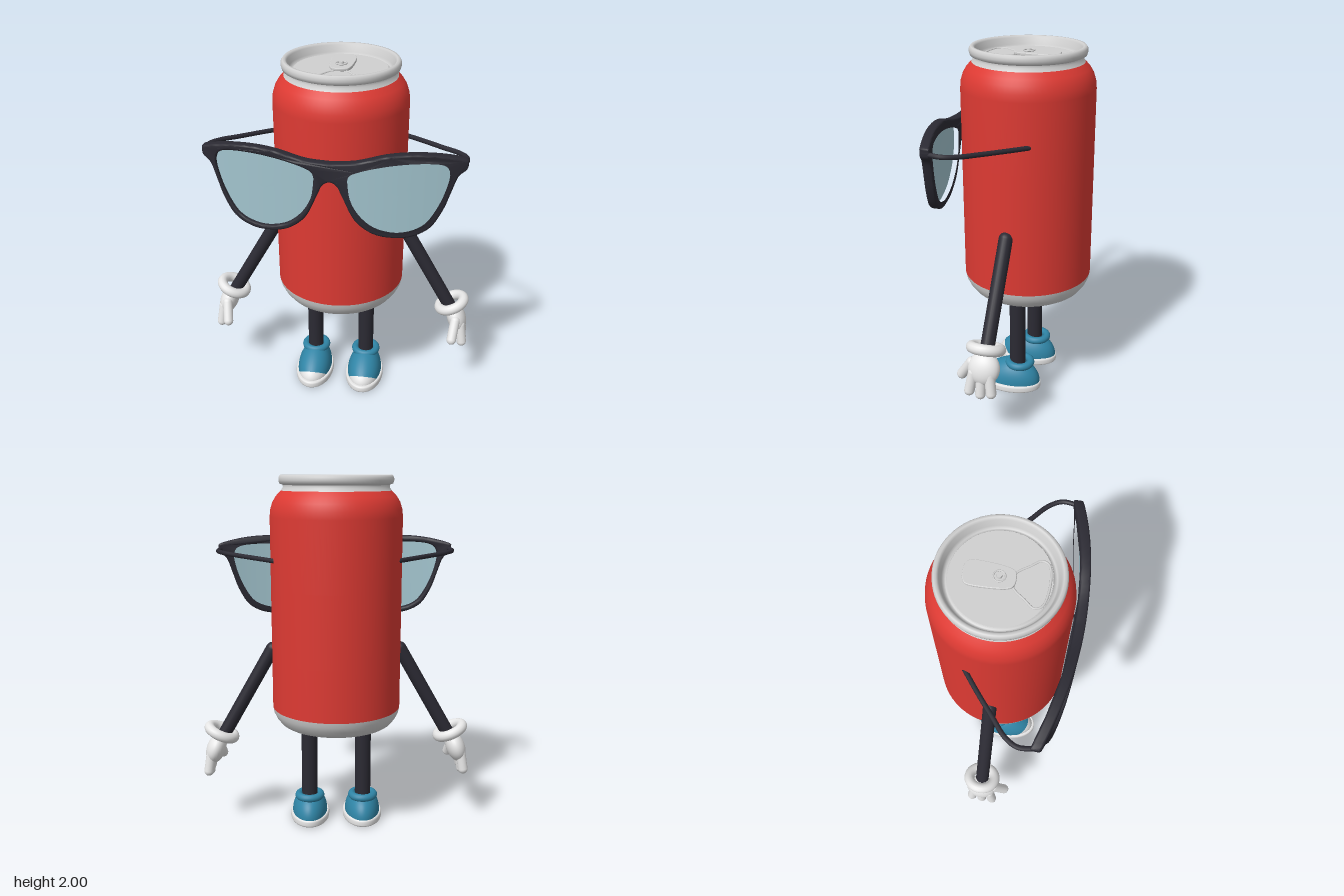
import * as THREE from 'three';
import { mergeVertices, toCreasedNormals } from 'three/addons/utils/BufferGeometryUtils.js';

const V2 = (p) => new THREE.Vector2(p[0], p[1]);
const V3 = (x, y, z) => new THREE.Vector3(x, y, z);
const mat = (name, color, side = THREE.FrontSide) => {
  const m = new THREE.MeshStandardMaterial({ color, side });
  m.name = name;
  return m;
};
const CAN_Z = -0.036;

export function createModel() {
  const red = mat('red', 0xdd3a33);
  const silver = mat('silver', 0xd0d0d0);
  const white = mat('white', 0xe6e6e6);
  const black = mat('black', 0x2b2a33);
  const teal = mat('teal', 0x2f84a5);
  const lensBlue = mat('lensBlue', 0xa3c5cf, THREE.DoubleSide);

  const model = new THREE.Group();
  model.name = 'canCharacter';

  const add = (parent, name, geo, material, x = 0, y = 0, z = 0) => {
    const mesh = new THREE.Mesh(geo, material);
    mesh.name = name;
    mesh.position.set(x, y, z);
    parent.add(mesh);
    return mesh;
  };
  // Round-ended rod between two points
  const limb = (parent, name, a, b, r, material) => {
    const dir = b.clone().sub(a);
    const mesh = add(parent, name, new THREE.CapsuleGeometry(r, dir.length(), 8, 20), material);
    mesh.position.copy(a).add(b).multiplyScalar(0.5);
    mesh.quaternion.setFromUnitVectors(V3(0, 1, 0), dir.normalize());
    return mesh;
  };
  const group = (name) => {
    const g = new THREE.Group();
    g.name = name;
    model.add(g);
    return g;
  };

  // Can body: three stacked lathes
  const can = group('can');
  can.position.z = CAN_Z;
  const lathe = (name, pts, m) => add(can, name, new THREE.LatheGeometry(pts.map(V2), 72), m);
  lathe('canBase', [[0, 0.72], [0.1, 0.71], [0.19, 0.68], [0.245, 0.635], [0.262, 0.616], [0.28, 0.61],
    [0.3, 0.612], [0.32, 0.625], [0.343, 0.655], [0.357, 0.685], [0.362, 0.712]], silver);
  lathe('canBody', [[0.362, 0.712], [0.362, 1.0], [0.362, 1.4], [0.362, 1.78], [0.358, 1.82], [0.346, 1.858],
    [0.328, 1.888], [0.3, 1.918]], red);
  lathe('canCollar', [[0.3, 1.918], [0.288, 1.936], [0.29, 1.95]], silver);
  lathe('canRim', [[0.29, 1.948], [0.307, 1.955], [0.312, 1.972], [0.311, 1.988], [0.303, 2], [0.29, 2],
    [0.28, 1.99], [0.27, 1.955], [0.262, 1.94], [0.252, 1.94], [0.244, 1.952]], silver);
  lathe('canLid', [[0.246, 1.95], [0.12, 1.95], [0, 1.95]].map((p) => p), silver);

  // Pull tab: tapered plate with a finger hole, rivet and mouth ridge
  const smoothLoop = (pts, n) => new THREE.SplineCurve([...pts, pts[0]].map(V2)).getPoints(n).slice(0, -1);
  const tabShape = new THREE.Shape(smoothLoop([[-0.03, 0.21], [0.03, 0.21], [0.063, 0.185], [0.066, 0.1],
    [0.055, 0.0], [0.03, -0.035], [-0.03, -0.035], [-0.055, 0.0], [-0.066, 0.1], [-0.063, 0.185]], 60));
  tabShape.holes.push(new THREE.Path(smoothLoop([[-0.04, 0.175], [0.04, 0.175], [0.047, 0.12], [0.035, 0.1],
    [-0.035, 0.1], [-0.047, 0.12]], 36)));
  const tabGeo = new THREE.ExtrudeGeometry(tabShape, { depth: 0.008, bevelSize: 0.004, bevelThickness: 0.004,
    bevelOffset: -0.004, bevelSegments: 2 });
  tabGeo.rotateX(-Math.PI / 2);
  add(can, 'pullTab', tabGeo, silver, 0, 1.956, -CAN_Z);
  const rivetRing = add(can, 'rivetRing', new THREE.TorusGeometry(0.028, 0.004, 8, 28), silver, 0, 1.972, -CAN_Z - 0.04);
  rivetRing.rotation.x = Math.PI / 2;
  add(can, 'rivet', new THREE.CylinderGeometry(0.012, 0.014, 0.012, 20), silver, 0, 1.976, -CAN_Z - 0.04);
  const mouth = new THREE.CatmullRomCurve3([[-0.035, 0.03], [0.035, 0.03], [0.085, 0.09], [0.12, 0.14], [0.105, 0.175],
    [0, 0.195], [-0.105, 0.175], [-0.12, 0.14], [-0.085, 0.09]].map((p) => V3(p[0], 1.95, p[1] - CAN_Z)), true);
  add(can, 'mouthRidge', new THREE.TubeGeometry(mouth, 72, 0.006, 8, true), silver);

  // Sunglasses: flat outline wrapped backwards towards the sides
  const glasses = group('sunglasses');
  const bend = (x) => -0.245 * x * x;
  const half = [[0.13, 1.603], [0.275, 1.638], [0.405, 1.648], [0.54, 1.638], [0.665, 1.61], [0.68, 1.59], [0.675, 1.556],
    [0.635, 1.52], [0.603, 1.43], [0.571, 1.339], [0.513, 1.243], [0.423, 1.194], [0.328, 1.187], [0.222, 1.21],
    [0.127, 1.286], [0.063, 1.418], [0.037, 1.472]];
  const outer = [[0, 1.593], ...half, [0, 1.493], ...half.slice().reverse().map(([x, y]) => [-x, y])];
  const inner = [[0.08, 1.508], [0.1, 1.548], [0.196, 1.582], [0.328, 1.606], [0.46, 1.612], [0.566, 1.598],
    [0.602, 1.55], [0.593, 1.47], [0.556, 1.365], [0.497, 1.268], [0.423, 1.224], [0.328, 1.212], [0.222, 1.243],
    [0.143, 1.312], [0.095, 1.402]];
  const lensOutline = (s) => smoothLoop(inner.map(([x, y]) => [s * x, y]), 75);
  const frameShape = new THREE.Shape(smoothLoop(outer, 180));
  for (const s of [1, -1]) frameShape.holes.push(new THREE.Path(lensOutline(s)));
  const frameGeo = new THREE.ExtrudeGeometry(frameShape, { depth: 0.034, bevelSize: 0.01, bevelThickness: 0.01,
    bevelOffset: -0.01, bevelSegments: 3 });
  const fp = frameGeo.attributes.position;
  for (let i = 0; i < fp.count; i++) fp.setZ(i, fp.getZ(i) + 0.35 + bend(fp.getX(i)));
  add(glasses, 'frame', toCreasedNormals(frameGeo, 0.7), black);

  // Lens: concentric rings shrinking to the middle, wrapped like the frame
  const lensGeo = (s) => {
    const ring = lensOutline(s), n = ring.length, rings = 8, pos = [], idx = [];
    for (let r = 0; r <= rings; r++) {
      for (const p of ring) {
        const k = 1.01 * (1 - r / rings);
        const x = s * 0.345 + (p.x - s * 0.345) * k;
        pos.push(x, 1.42 + (p.y - 1.42) * k, 0.373 + bend(x));
      }
    }
    for (let r = 0; r < rings; r++) {
      for (let i = 0; i < n; i++) {
        const a = r * n + i, b = r * n + (i + 1) % n;
        if (s > 0) idx.push(a, a + n, b, b, a + n, b + n);
        else idx.push(a, b, a + n, b, b + n, a + n);
      }
    }
    const g = new THREE.BufferGeometry();
    g.setAttribute('position', new THREE.Float32BufferAttribute(pos, 3));
    g.setIndex(idx);
    g.computeVertexNormals();
    return g;
  };

  // Shoe upper: ellipsoid with a flat bottom and a lowered toe, split by a tilted cut
  const shoeGeo = (start, length) => {
    let g = new THREE.SphereGeometry(1, 40, 24, 0, Math.PI * 2, start, length);
    g.rotateX(Math.PI / 2 + 0.515);
    const p = g.attributes.position;
    for (let i = 0; i < p.count; i++) {
      const y = Math.max(0, p.getY(i)), z = p.getZ(i);
      p.setXYZ(i, p.getX(i) * 0.103, 0.04 + y * 0.135 * (1 - 0.3 * Math.max(0, z)), 0.015 + z * 0.178);
    }
    g.deleteAttribute('uv');
    g.deleteAttribute('normal');
    g = mergeVertices(g, 1e-5);
    g.computeVertexNormals();
    return g;
  };
  const CUT = 1.07;

  for (const s of [1, -1]) {
    const side = s > 0 ? 'left' : 'right';
    add(glasses, side + 'Lens', lensGeo(s), lensBlue);
    const templePath = new THREE.CatmullRomCurve3([V3(s * 0.665, 1.575, 0.26), V3(s * 0.674, 1.572, 0.17),
      V3(s * 0.635, 1.568, 0.1), V3(s * 0.55, 1.562, 0.025), V3(s * 0.44, 1.556, -0.07), V3(s * 0.335, 1.55, -0.155)]);
    add(glasses, side + 'Temple', new THREE.TubeGeometry(templePath, 40, 0.013, 10), black);
    add(glasses, side + 'TempleTip', new THREE.SphereGeometry(0.013, 12, 8), black, s * 0.335, 1.55, -0.155);

    // Arm, cuff and gloved hand
    const arm = group(side + 'Arm');
    const P = (x, y, z) => V3(s * x, y, z);
    limb(arm, 'sleeve', P(0.36, 1.043, CAN_Z), P(0.655, 0.525, CAN_Z), 0.038, black);
    const cuff = add(arm, 'cuff', new THREE.TorusGeometry(0.076, 0.03, 14, 36), white, s * 0.662, 0.55, CAN_Z);
    cuff.quaternion.setFromUnitVectors(V3(0, 0, 1), P(0.42, -0.907, 0));
    const palm = add(arm, 'palm', new THREE.SphereGeometry(1, 28, 20), white, s * 0.698, 0.45, CAN_Z);
    palm.scale.set(0.055, 0.09, 0.088);
    palm.rotation.z = s * 0.35;
    for (const [z, tip] of [[0.032, 0.325], [-0.03, 0.315], [-0.09, 0.33]]) {
      limb(arm, 'finger', P(0.722, 0.43, z * 0.75 - 0.01), P(0.737, tip, z), 0.028, white);
    }
    limb(arm, 'thumb', P(0.69, 0.47, 0.035), P(0.675, 0.375, 0.098), 0.028, white);

    // Leg and shoe
    const leg = group(side + 'Leg');
    leg.position.x = s * 0.156;
    add(leg, 'trouser', new THREE.CylinderGeometry(0.046, 0.046, 0.62, 28), black, 0, 0.43, -0.028);
    add(leg, 'shoeUpper', shoeGeo(CUT, Math.PI - CUT), teal);
    add(leg, 'toeCap', shoeGeo(0, CUT), white);
    const collar = add(leg, 'shoeCollar', new THREE.TorusGeometry(0.064, 0.022, 14, 36), teal, 0, 0.158, -0.042);
    collar.rotation.x = Math.PI / 2;
    const sole = add(leg, 'sole', new THREE.LatheGeometry([[0, 0.003], [0.94, 0.003], [0.985, 0.008], [1, 0.016],
      [1, 0.035], [0.985, 0.043], [0.94, 0.047], [0, 0.047]].map(V2), 48), white, 0, 0, 0.02);
    sole.scale.set(0.115, 1, 0.19);
    sole.position.y = -0.003;
  }
  return model;
}
